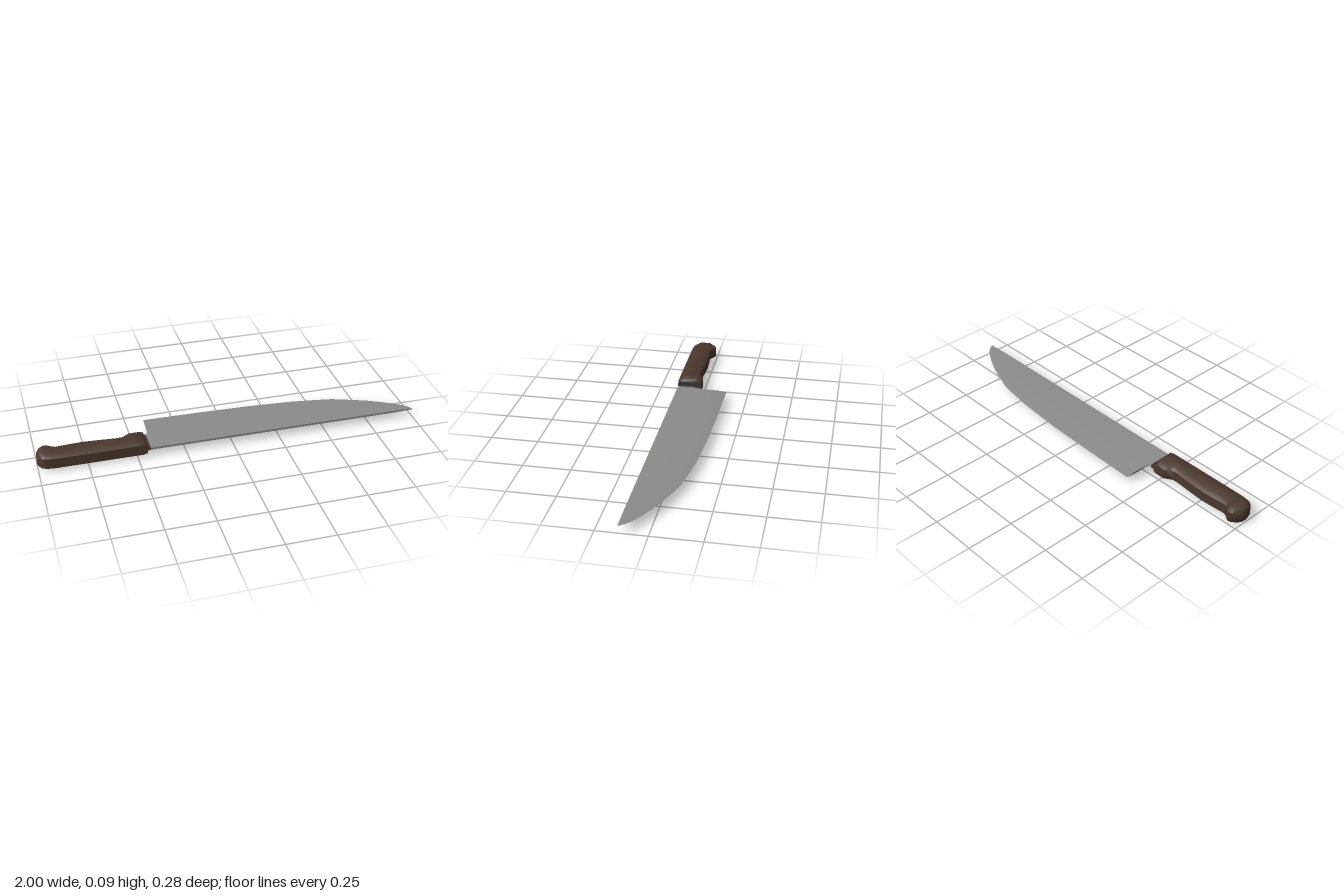
import * as THREE from 'three';
import { toCreasedNormals } from 'three/addons/utils/BufferGeometryUtils.js';

const MID = 0.0425; // height of the centre plane

// Skin through equal-sized rings of [x, y, z], ordered from -x to +x, with end caps
function loft(rings, crease) {
  const n = rings[0].length;
  const index = [];
  for (let i = 0; i < rings.length - 1; i++) {
    for (let j = 0; j < n; j++) {
      const k = (j + 1) % n;
      const a = i * n + j, b = i * n + k, c = a + n, d = b + n;
      index.push(a, b, d, a, d, c);
    }
  }
  const last = (rings.length - 1) * n;
  for (let j = 1; j < n - 1; j++) {
    index.push(0, j + 1, j);
    index.push(last, last + j, last + j + 1);
  }
  const geo = new THREE.BufferGeometry();
  geo.setAttribute('position', new THREE.Float32BufferAttribute(rings.flat(2), 3));
  geo.setIndex(index);
  return toCreasedNormals(geo, crease);
}

// Eight-sided handle section between z0 and z1
function handleRing([x, z0, z1, half = 0.0425]) {
  const c = Math.min(0.024, (z1 - z0) * 0.3);
  const s = Math.max(half - 0.015, half * 0.5);
  return [
    [half, z0 + c], [half, z1 - c], [s, z1], [-s, z1],
    [-half, z1 - c], [-half, z0 + c], [-s, z0], [s, z0],
  ].map(([y, z]) => [x, MID + y, z]);
}

// Wedge-shaped blade section: flat spine, parallel sides, sharp edge
function bladeRing([x, edge, spine = 0.139]) {
  const w = spine - edge;
  const h = 0.0058 * Math.min(1, 0.3 + w * 7);
  const bevel = edge + Math.min(0.045, w * 0.4);
  return [
    [h, bevel], [h, spine], [-h, spine], [-h * 0.95, bevel], [0, edge],
  ].map(([y, z]) => [x, MID + y, z]);
}

export function createModel() {
  const wood = new THREE.MeshStandardMaterial({ color: 0x4a372d });
  wood.name = 'dark brown wood';
  const steel = new THREE.MeshStandardMaterial({ color: 0x8b8b89 });
  steel.name = 'grey steel';
  const dark = new THREE.MeshStandardMaterial({ color: 0x2f3636 });
  dark.name = 'dark end';

  const knife = new THREE.Group();
  knife.name = 'knife';
  const add = (name, geo, mat) => {
    const mesh = new THREE.Mesh(geo, mat);
    mesh.name = name;
    knife.add(mesh);
    return mesh;
  };

  // Handle: rounded butt, finger hook, waist and flared front
  const handle = [
    [-1, 0.055, 0.095, 0.028], [-0.993, 0.04, 0.112, 0.037], [-0.98, 0.022, 0.126],
    [-0.965, 0.01, 0.134], [-0.95, 0.004, 0.138], [-0.935, 0.011, 0.14],
    [-0.92, 0.024, 0.141], [-0.9, 0.033, 0.142], [-0.85, 0.029, 0.142],
    [-0.76, 0.025, 0.142], [-0.67, 0.031, 0.142], [-0.59, 0.038, 0.142],
    [-0.56, 0.037, 0.142], [-0.54, 0.025, 0.142], [-0.522, 0.012, 0.142],
    [-0.505, 0.011, 0.142], [-0.462, 0.011, 0.142], [-0.45, 0.012, 0.142, 0.029],
  ];
  add('handle', loft(handle.map(handleRing), 0.95), wood);

  // Dark front face of the handle
  const end = new THREE.BoxGeometry(0.004, 0.054, 0.124);
  add('handleEnd', end, dark).position.set(-0.4495, MID, 0.077);

  // Thin wooden collar around the blade root
  const collar = new THREE.BoxGeometry(0.022, 0.0135, 0.13);
  add('collar', collar, wood).position.set(-0.443, MID, 0.075);

  // Blade: straight spine, notched heel, curved cutting edge
  const blade = [
    [-0.47, 0.014], [-0.438, 0.013], [-0.427, 0.003], [-0.419, -0.025],
    [-0.416, -0.07], [-0.415, -0.135], [-0.408, -0.139], [-0.1, -0.133],
    [0.16, -0.125], [0.4, -0.107], [0.52, -0.09], [0.62, -0.073],
    [0.72, -0.037], [0.8, -0.006], [0.86, 0.024], [0.92, 0.058],
    [0.96, 0.085], [0.985, 0.108], [0.997, 0.126], [1, 0.136],
  ];
  add('blade', loft(blade.map(bladeRing), 0.5), steel);

  return knife;
}
